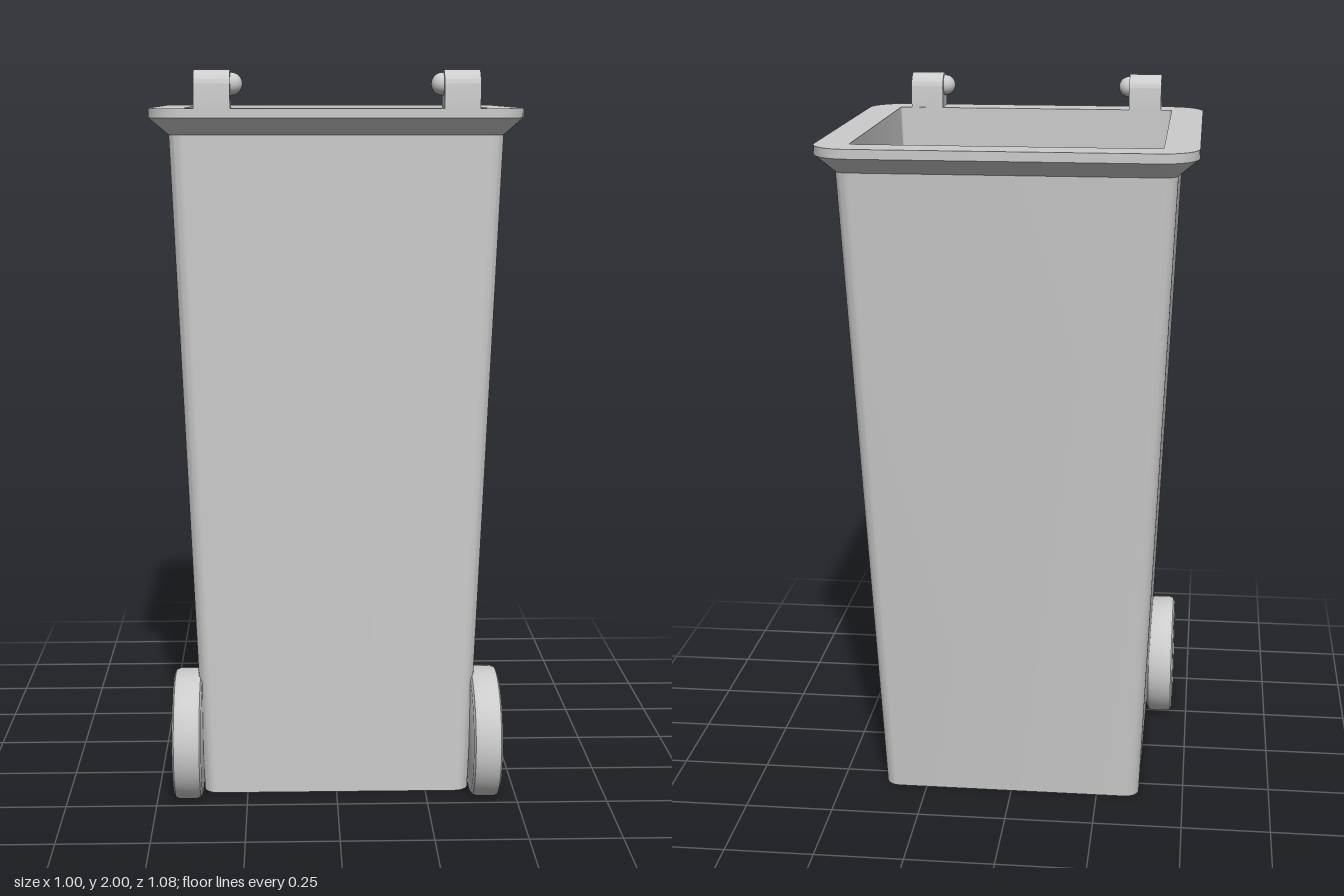
import * as THREE from 'three';
import { toCreasedNormals } from 'three/addons/utils/BufferGeometryUtils.js';

const CORNER = 8; // segments per rounded corner

// Rounded rectangle ring: half width, back z, front z, height, corner radius
function ring([hx, z0, z1, y, r]) {
  const pts = [];
  const corners = [[hx - r, z1 - r], [r - hx, z1 - r], [r - hx, z0 + r], [hx - r, z0 + r]];
  corners.forEach(([cx, cz], q) => {
    for (let i = 0; i <= CORNER; i++) {
      const a = (q + i / CORNER) * Math.PI / 2;
      pts.push(cx + r * Math.cos(a), y, cz + r * Math.sin(a));
    }
  });
  return pts;
}

// Skin a list of rings
function loft(sections) {
  const n = 4 * (CORNER + 1);
  const index = [];
  for (let s = 0; s < sections.length - 1; s++) {
    for (let i = 0; i < n; i++) {
      const a = s * n + i, b = s * n + (i + 1) % n;
      index.push(a, a + n, b, b, a + n, b + n);
    }
  }
  const geo = new THREE.BufferGeometry();
  geo.setAttribute('position', new THREE.Float32BufferAttribute(sections.flatMap(ring), 3));
  geo.setIndex(index);
  return toCreasedNormals(geo, 0.5);
}

export function createModel() {
  const model = new THREE.Group();
  const plastic = new THREE.MeshStandardMaterial({ color: 0xcccccc });
  plastic.name = 'grey plastic';
  const add = (parent, geo, name) => {
    const mesh = new THREE.Mesh(geo, plastic);
    mesh.name = name;
    parent.add(mesh);
    return mesh;
  };

  // Tapered hollow body with flared rim, from the base up, over and down inside
  add(model, loft([
    [0, 0.04, 0.04, 0, 0],
    [0.372, -0.333, 0.41, 0, 0.04],
    [0.446, -0.477, 0.41, 1.83, 0.04],
    [0.5, -0.54, 0.46, 1.875, 0.1],
    [0.5, -0.54, 0.46, 1.9, 0.1],
    [0.407, -0.445, 0.367, 1.9, 0.008],
    [0.335, -0.3, 0.367, 0.04, 0.008],
    [0, 0.03, 0.03, 0.04, 0],
  ]), 'binBody');

  // Wheel with bevelled tread and recessed hub, flattened where it meets the ground
  const axleY = 0.155;
  const profile = [
    [0, 0], [0.17, 0], [0.18, 0.005], [0.185, 0.016], [0.185, 0.064],
    [0.18, 0.075], [0.17, 0.08], [0.125, 0.08], [0.125, 0.04], [0, 0.04],
  ].map(([r, x]) => new THREE.Vector2(r, x));
  let wheelGeo = new THREE.LatheGeometry(profile, 64);
  wheelGeo.rotateZ(-Math.PI / 2);
  const pos = wheelGeo.attributes.position;
  for (let i = 0; i < pos.count; i++) pos.setY(i, Math.max(pos.getY(i), -axleY));
  wheelGeo = toCreasedNormals(wheelGeo, 0.6);

  // Hinge lug: upright tab with a half-round top
  const lug = new THREE.Shape();
  lug.moveTo(-0.045, -0.065);
  lug.lineTo(0.045, -0.065);
  lug.lineTo(0.045, 0);
  lug.absarc(0, 0, 0.045, 0, Math.PI, false);
  lug.closePath();
  const lugGeo = toCreasedNormals(
    new THREE.ExtrudeGeometry(lug, { depth: 0.095, bevelEnabled: false, curveSegments: 20 })
      .rotateY(Math.PI / 2).translate(-0.0475, 0, 0), 0.5);

  for (const side of [1, -1]) {
    const label = side > 0 ? 'left' : 'right';

    const wheel = new THREE.Group();
    wheel.name = label + 'Wheel';
    wheel.position.set(side * 0.375, axleY, 0.35);
    if (side < 0) wheel.rotation.y = Math.PI;
    add(wheel, wheelGeo, 'tyre');
    for (let k = 0; k < 3; k++) {
      const spoke = new THREE.BoxGeometry(0.03, 0.12, 0.056).translate(0.051, -0.06, 0);
      add(wheel, spoke, 'spoke').rotation.x = k * Math.PI * 2 / 3;
    }
    model.add(wheel);

    const hinge = new THREE.Group();
    hinge.name = label + 'Hinge';
    hinge.position.set(side * 0.3275, 1.955, 0.414);
    add(hinge, lugGeo, 'hingeLug');
    add(hinge, new THREE.SphereGeometry(0.03, 24, 16), 'hingePin').position.set(-side * 0.05, 0.008, -0.002);
    model.add(hinge);
  }
  return model;
}
